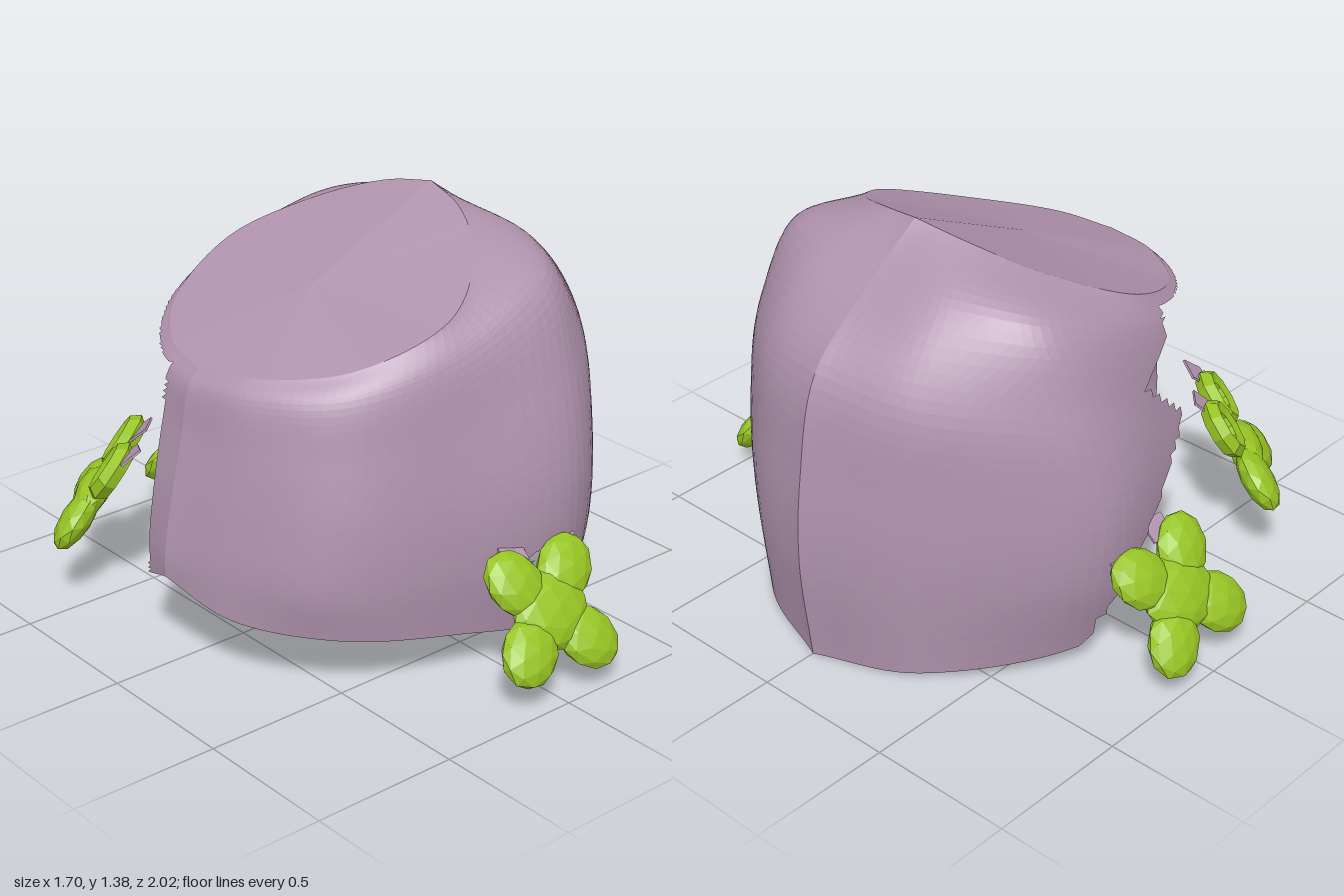
import * as THREE from 'three';

const shellMat = new THREE.MeshStandardMaterial({ color: 0xb093ad, flatShading: true, side: THREE.DoubleSide });
shellMat.name = 'dusty mauve';
const leafMat = new THREE.MeshStandardMaterial({ color: 0x97c524, flatShading: true, side: THREE.DoubleSide });
leafMat.name = 'leaf green';

// Half cross-sections (z >= 0) of the dome, from its +x end to its -x end, top to bottom.
const rings = [
  [[.3, 1.4, 0], [.26, 1.365, .18], [.14, 1.285, .38], [-.1, 1.17, .53], [-.4, 1.06, .44], [-.6, 1.015, .2], [-.65, 1.0, 0]],
  [[.52, 1.24, 0], [.46, 1.26, .29], [.29, 1.22, .54], [-.12, 1.07, .595], [-.46, .99, .47], [-.64, .965, .22], [-.69, .95, 0]],
  [[.74, 1.04, 0], [.64, 1.0, .33], [.28, .95, .67], [-.15, .85, .64], [-.5, .8, .5], [-.67, .8, .25], [-.72, .8, 0]],
  [[.82, .7, 0], [.68, .68, .35], [.26, .65, .745], [-.18, .6, .675], [-.54, .58, .52], [-.71, .58, .25], [-.77, .58, 0]],
  [[.84, .4, 0], [.69, .4, .35], [.26, .38, .74], [-.18, .4, .68], [-.56, .38, .52], [-.73, .4, .25], [-.8, .4, 0]],
  [[.8, .02, 0], [.66, .04, .34], [.22, .1, .68], [-.15, .17, .66], [-.52, .22, .52], [-.73, .25, .24], [-.8, .33, 0]],
];

// Right-hand edge of the broken-out corner: [y, x] from bottom to top.
const breakEdge = [[0, .3], [.25, .2], [.5, 0], [.71, -.25], [.91, -.03], [1.0, -.2], [1.2, -.22]];

function edgeX(y) {
  const i = Math.max(1, breakEdge.findIndex(e => y <= e[0]));
  const [y0, x0] = breakEdge[i - 1], [y1, x1] = breakEdge[i];
  return x0 + (x1 - x0) * (y - y0) / (y1 - y0);
}

// True where the wall is missing: the back corner, and a small opening behind the front cluster.
function isGap(p) {
  if (p.z < -.13) return p.y < 1.14 + .25 * p.x && p.x < edgeX(p.y);
  return p.z > .6 && p.x > .06 && p.x < .2 && p.y > .25 && p.y < .41;
}

const SEG = 120;

// Closed loop of points mirrored in z.
function loop(half) {
  const curve = new THREE.CatmullRomCurve3(half.map(p => new THREE.Vector3(...p)));
  const n = SEG / 2, pts = [];
  for (let i = 0; i <= n; i++) pts.push(curve.getPoint(i / n));
  for (let i = n - 1; i > 0; i--) pts.push(pts[i].clone().setZ(-pts[i].z));
  return pts;
}

// Triangles between successive loops, leaving out the gaps.
function skin(loops, hasGaps) {
  const out = [];
  const tri = (a, b, c) => {
    const mid = a.clone().add(b).add(c).divideScalar(3);
    if (!hasGaps || !isGap(mid)) out.push(...a, ...b, ...c);
  };
  for (let r = 0; r + 1 < loops.length; r++) {
    for (let i = 0; i < SEG; i++) {
      const j = (i + 1) % SEG, A = loops[r], B = loops[r + 1];
      tri(A[i], A[j], B[j]);
      tri(A[i], B[j], B[i]);
    }
  }
  const g = new THREE.BufferGeometry();
  g.setAttribute('position', new THREE.Float32BufferAttribute(out, 3));
  g.computeVertexNormals();
  return g;
}

function addMesh(parent, name, geometry, material) {
  const m = new THREE.Mesh(geometry, material);
  m.name = name;
  parent.add(m);
  return m;
}

// Four-lobed leaf cluster, leaning outwards, with two torn tabs at its top.
function cluster(name, x, y, z, turn, flip, openTop) {
  const holder = new THREE.Group();
  holder.name = name;
  holder.position.set(x, y, z);
  holder.rotation.y = turn;
  const leaf = new THREE.Group();
  leaf.name = 'leafCluster';
  leaf.rotation.x = -.6;
  holder.add(leaf);

  for (const [px, py] of [[-.075, .115], [.13, .105], [-.12, -.095], [.115, -.12]]) {
    const ring = openTop && py > 0;
    const geo = ring ? new THREE.TorusGeometry(.078, .034, 5, 9) : new THREE.IcosahedronGeometry(1, 1);
    if (!ring) geo.scale(.122, .1, .052);
    const petal = addMesh(leaf, 'petal', geo, leafMat);
    petal.position.set(px * flip, py, 0);
    petal.rotation.z = Math.atan2(py, px * flip);
  }
  const core = addMesh(leaf, 'core', new THREE.IcosahedronGeometry(1, 1), leafMat);
  core.scale.set(.15, openTop ? .07 : .13, .055);
  core.position.set(.015 * flip, openTop ? -.05 : 0, 0);

  for (const px of [-.03, .17]) {
    const tab = addMesh(holder, 'tornTab', new THREE.BoxGeometry(.09, .08, .008), shellMat);
    tab.position.set(px * flip, .165, -.13);
    tab.rotation.set(-.9, 0, px * 2);
  }
  return holder;
}

export function createModel() {
  const model = new THREE.Group();
  model.name = 'brokenDome';

  // Dome wall: smooth columns run down through the cross-sections.
  const main = rings.map(loop), wall = [];
  const columns = main[0].map((_, i) => new THREE.CatmullRomCurve3(main.map(l => l[i])));
  const rows = (rings.length - 1) * 8;
  for (let r = 0; r <= rows; r++) wall.push(columns.map(c => c.getPoint(r / rows)));
  addMesh(model, 'domeWall', skin(wall, true), shellMat);

  // Slanted, slightly dished top face.
  const centre = new THREE.Vector3(-.2, 1.165, 0);
  const cap = [0, .5, 1].map(t => main[0].map(p => centre.clone().lerp(p, t)));
  addMesh(model, 'slantedTop', skin(cap, false), shellMat);

  // Leaf clusters at the front, the back and the broken corner.
  model.add(cluster('frontCluster', .02, .28, .87, 0, 1, false));
  model.add(cluster('backCluster', .02, .28, -.87, Math.PI, -1, false));
  model.add(cluster('cornerCluster', -.635, .41, -.585, -Math.PI * .75, 1, true));
  return model;
}
